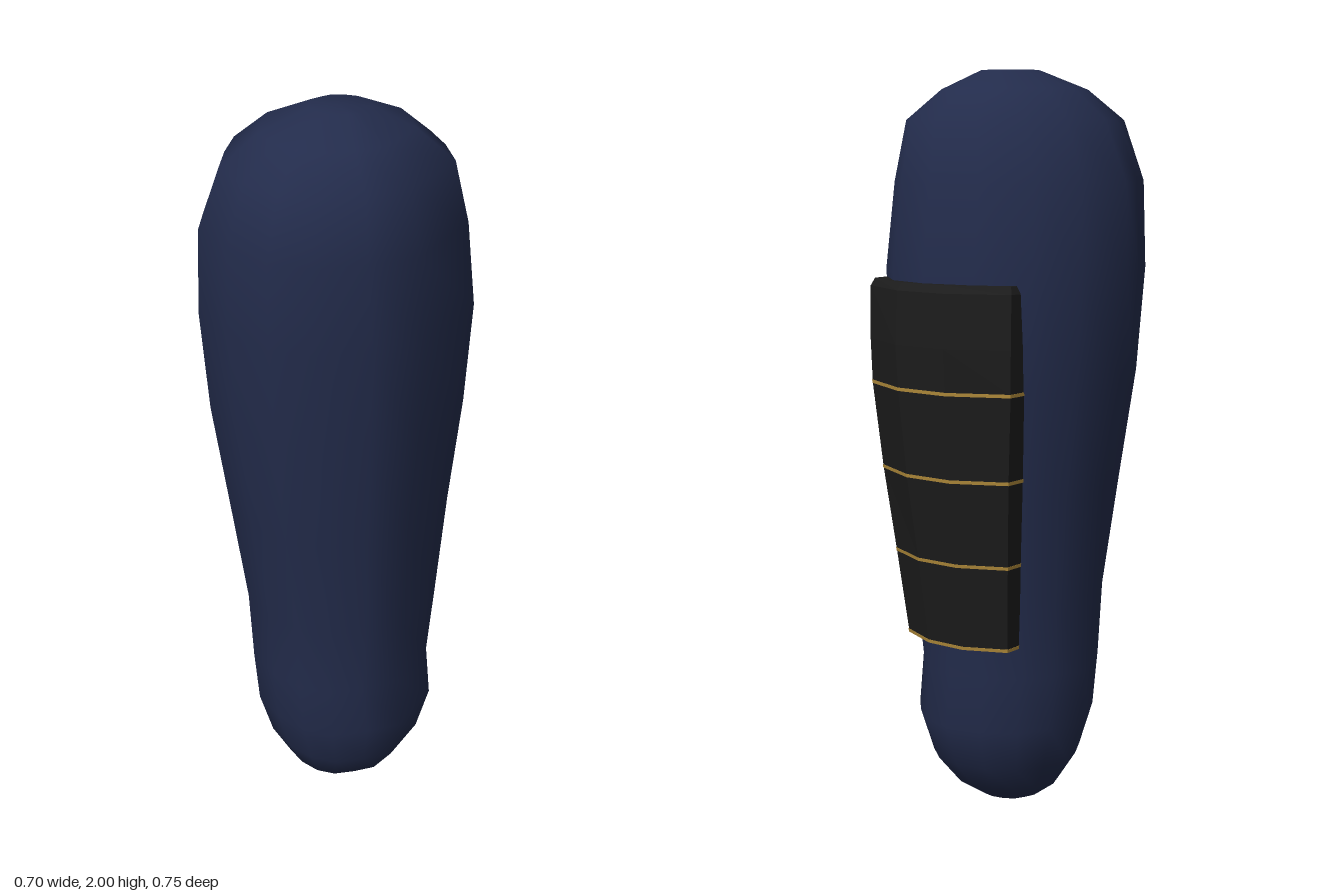
import * as THREE from 'three';

// Skin a stack of equal-length rings (bottom to top, clockwise from above), capped at both ends
function loft(rings) {
  const n = rings[0].length, pos = [], idx = [];
  rings.forEach(r => r.forEach(p => pos.push(...p)));
  const at = (j, i) => j * n + (i % n);
  for (let j = 0; j < rings.length - 1; j++)
    for (let i = 0; i < n; i++) {
      const a = at(j, i), b = at(j, i + 1), c = at(j + 1, i + 1), d = at(j + 1, i);
      idx.push(a, d, c, a, c, b);
    }
  [0, rings.length - 1].forEach((j, top) => {
    const centre = pos.length / 3;
    for (let k = 0; k < 3; k++) pos.push(rings[j].reduce((s, p) => s + p[k], 0) / n);
    for (let i = 0; i < n; i++) {
      if (top) idx.push(centre, at(j, i + 1), at(j, i));
      else idx.push(centre, at(j, i), at(j, i + 1));
    }
  });
  const g = new THREE.BufferGeometry();
  g.setAttribute('position', new THREE.Float32BufferAttribute(pos, 3));
  g.setIndex(idx);
  g.computeVertexNormals();
  return g;
}

// Faceted outline of the limb, as fractions of its half width and half depth
const OUTLINE = [
  [-1, 0], [-0.86, -0.37], [-0.68, -0.72], [-0.31, -0.92], [0.1, -1], [0.45, -0.93], [0.74, -0.68],
  [1, -0.38], [1, 0.38], [0.74, 0.67], [0.44, 0.93], [0.1, 1], [-0.29, 0.92], [-0.68, 0.7], [-0.86, 0.35],
];

// Limb levels: y, x min, x max, z back, z front
const LIMB = [
  [0, -0.05, 0.11, -0.06, 0.10],
  [0.05, -0.12, 0.18, -0.135, 0.165],
  [0.13, -0.18, 0.24, -0.20, 0.21],
  [0.25, -0.22, 0.27, -0.245, 0.245],
  [0.4, -0.23, 0.26, -0.24, 0.255],
  [0.6, -0.245, 0.275, -0.262, 0.265],
  [0.9, -0.285, 0.30, -0.295, 0.31],
  [1.2, -0.335, 0.33, -0.33, 0.345],
  [1.48, -0.355, 0.348, -0.347, 0.37],
  [1.71, -0.335, 0.335, -0.315, 0.375],
  [1.87, -0.27, 0.30, -0.28, 0.34],
  [1.95, -0.17, 0.21, -0.18, 0.24],
  [2, -0.05, 0.11, -0.06, 0.10],
];

// Guard levels: y, half width, z of the back, of the outer corner, of the inner edge
const GUARD = [
  [0.49, 0.17, -0.28, -0.23, -0.17],
  [0.72, 0.19, -0.312, -0.255, -0.20],
  [0.95, 0.212, -0.347, -0.28, -0.22],
  [1.18, 0.232, -0.37, -0.297, -0.24],
  [1.3, 0.235, -0.378, -0.30, -0.242],
  [1.44, 0.235, -0.37, -0.297, -0.242],
  [1.46, 0.227, -0.357, -0.288, -0.242],
];

// Guard cross-section at any height, grown by e
function guardRing(y, e = 0) {
  let k = 0;
  while (k < GUARD.length - 2 && y > GUARD[k + 1][0]) k++;
  const a = GUARD[k], b = GUARD[k + 1], t = (y - a[0]) / (b[0] - a[0]);
  const [, w0, back, corner, inner] = a.map((v, i) => v + (b[i] - v) * t);
  const w = w0 + e, m = 0.34 * w, cx = 0.02;
  return [[-w, inner + e], [-w, corner - e], [-m, back - e], [m, back - e], [w, corner - e], [w, inner + e]]
    .map(([x, z]) => [cx + x, y, z]);
}

export function createModel() {
  const group = new THREE.Group();
  const add = (name, geometry, color, flatShading) => {
    const mesh = new THREE.Mesh(geometry, new THREE.MeshStandardMaterial({ color, flatShading }));
    mesh.name = name;
    group.add(mesh);
  };

  // Smooth padded limb
  add('limb', loft(LIMB.map(([y, x0, x1, z0, z1]) => OUTLINE.map(([u, v]) =>
    [(x0 + x1) / 2 + u * (x1 - x0) / 2, y, (z0 + z1) / 2 + v * (z1 - z0) / 2]))), 0x232c4c, false);

  // Four guard plates on the back, each with a gold trim along its lower edge
  const plates = [[0.49, 0.72], [0.72, 0.95], [0.95, 1.18], [1.18, 1.3, 1.44, 1.46]];
  plates.forEach((levels, i) => {
    const [y0, ...rest] = levels;
    add(`guardPlate${i + 1}`, loft([y0 + 0.008, ...rest].map(y => guardRing(y))), 0x1c1c1c, true);
    add(`goldTrim${i + 1}`, loft([guardRing(y0, 0.001), guardRing(y0 + 0.009, 0.001)]), 0xb08a3a, true);
  });
  return group;
}
